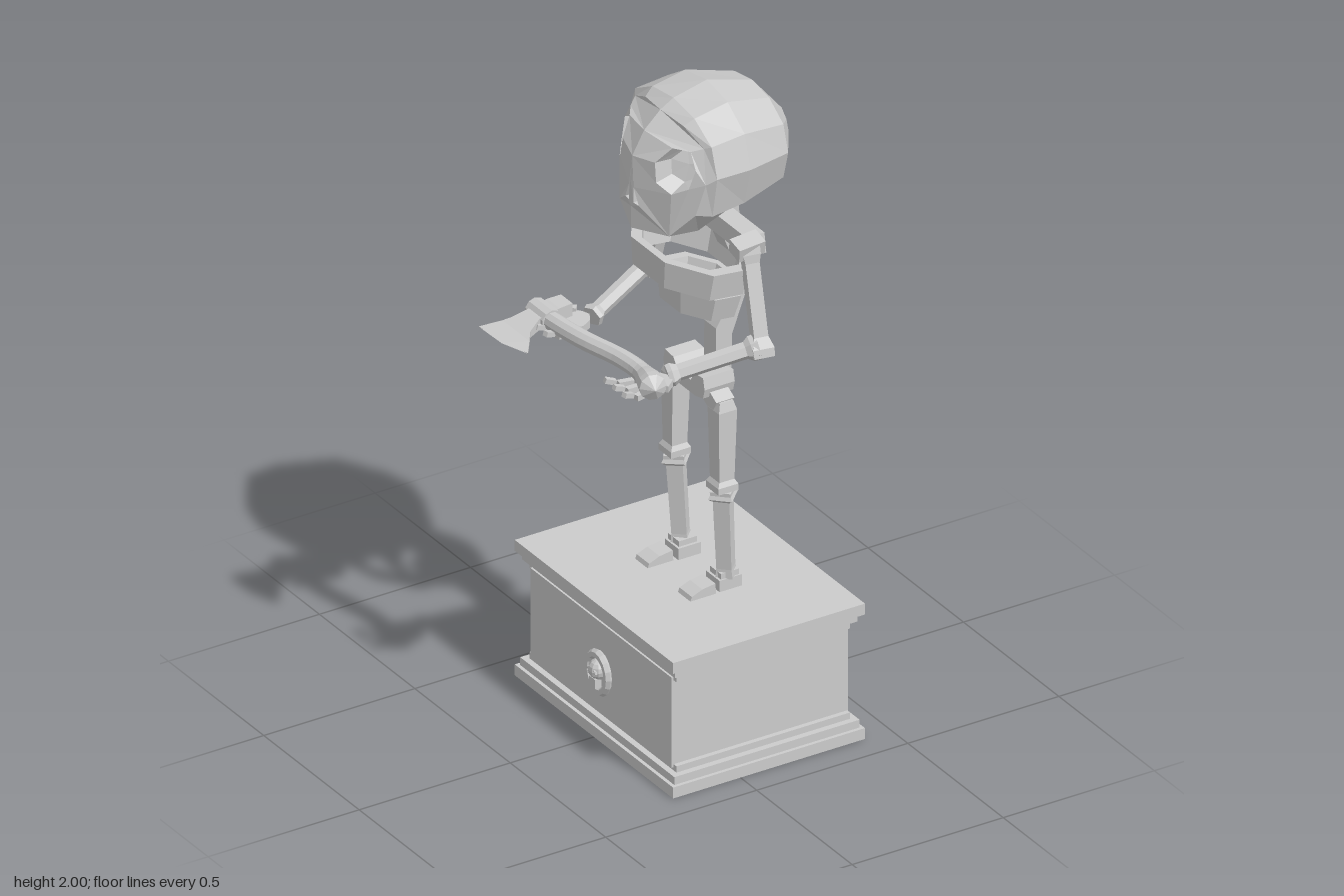
import * as THREE from 'three';

const mat = new THREE.MeshStandardMaterial({ color: 0xcccccc, flatShading: true });
const openMat = new THREE.MeshStandardMaterial({ color: 0xcccccc, flatShading: true, side: THREE.DoubleSide });
const V = (x, y, z) => new THREE.Vector3(x, y, z);

function add(parent, name, geo, pos = [0, 0, 0], rot = [0, 0, 0], material = mat) {
  const m = new THREE.Mesh(geo, material);
  m.name = name;
  m.position.set(...pos);
  m.rotation.set(...rot);
  parent.add(m);
  return m;
}

const box = (x, y, z) => new THREE.BoxGeometry(x, y, z);

// Surface through equal-length rings, with optional end caps
function loft(rings, capStart, capEnd) {
  const p = [];
  const tri = (...pts) => pts.forEach(q => p.push(...q));
  const n = rings[0].length;
  const mid = r => [0, 1, 2].map(k => r.reduce((s, q) => s + q[k], 0) / n);
  for (let i = 0; i + 1 < rings.length; i++) {
    for (let j = 0; j < n; j++) {
      const k = (j + 1) % n, [r, s] = [rings[i], rings[i + 1]];
      tri(r[j], r[k], s[k]);
      tri(r[j], s[k], s[j]);
    }
  }
  const first = rings[0], last = rings[rings.length - 1];
  for (let j = 0; j < n; j++) {
    const k = (j + 1) % n;
    if (capStart) tri(mid(first), first[k], first[j]);
    if (capEnd) tri(mid(last), last[j], last[k]);
  }
  const g = new THREE.BufferGeometry();
  g.setAttribute('position', new THREE.Float32BufferAttribute(p, 3));
  g.computeVertexNormals();
  return g;
}

// Faceted bone from a to b; profile is [fraction of length, half width]
function bone(parent, name, a, b, profile, sides = 4) {
  const dir = b.clone().sub(a), len = dir.length();
  const k = 1 / Math.cos(Math.PI / sides);
  const pts = [[0, 0], ...profile, [1, 0]].map(([t, r]) => new THREE.Vector2(r * k, t * len));
  const m = add(parent, name, new THREE.LatheGeometry(pts, sides, Math.PI / sides));
  m.position.copy(a);
  m.quaternion.setFromUnitVectors(V(0, 1, 0), dir.normalize());
  return m;
}

function extrude(points, depth) {
  const s = new THREE.Shape(points.map(([x, y]) => new THREE.Vector2(x, y)));
  const g = new THREE.ExtrudeGeometry(s, { depth, bevelEnabled: false });
  return g.translate(0, 0, -depth / 2);
}

function pedestal(parent) {
  const g = new THREE.Group();
  g.name = 'pedestal';
  parent.add(g);
  // Mouldings: bottom, top, overhang from the body
  for (const [y0, y1, o] of [[0, 0.035, 0.045], [0.035, 0.06, 0.034], [0.06, 0.08, 0.015],
    [0.35, 0.375, 0.015], [0.375, 0.4, 0.03], [0.4, 0.435, 0.045]]) {
    add(g, 'moulding', box(0.545 + 2 * o, y1 - y0, 0.74 + 2 * o), [0.0945, (y0 + y1) / 2, 0]);
  }
  // Body with a sunken panel on the rear face
  const rect = (x, y0, y1, w) => [[x, y1, -w], [x, y1, w], [x, y0, w], [x, y0, -w]];
  add(g, 'pedestalBody', loft([rect(-0.2, 0.07, 0.36, 0.37), rect(0.385, 0.07, 0.36, 0.37),
    rect(0.385, 0.082, 0.345, 0.325), rect(0.345, 0.13, 0.3, 0.29)], true, true));
  // Oval badge
  const badge = new THREE.Group();
  badge.name = 'badge';
  badge.position.set(-0.2, 0.203, 0);
  badge.rotation.y = -Math.PI / 2;
  g.add(badge);
  add(badge, 'badgeRim', new THREE.TorusGeometry(0.05, 0.013, 6, 16), [0, 0, 0.008]).scale.y = 1.16;
  add(badge, 'badgePlate', new THREE.CylinderGeometry(0.05, 0.05, 0.012, 16), [0, 0, 0.002], [Math.PI / 2, 0, 0]).scale.z = 1.16;
  add(badge, 'badgeHead', new THREE.SphereGeometry(0.032, 10, 8), [0, 0.012, 0.006]);
  add(badge, 'badgeJaw', box(0.032, 0.03, 0.04), [0, -0.025, 0.01]);
  for (const s of [-1, 1]) add(badge, 'badgeEye', new THREE.TorusGeometry(0.009, 0.004, 5, 8), [s * 0.013, 0.01, 0.03]);
}

// Depth of the face at a given height and distance from the middle
const faceX = (z, y) => -0.1 + 2.6 * z * z + 4.3 * Math.max(0, y - 1.8) ** 2;

function skull(parent) {
  const g = new THREE.Group();
  g.name = 'skull';
  parent.add(g);
  const rim = [[0, 1.95], [0.1, 1.94], [0.18, 1.9], [0.21, 1.8], [0.19, 1.7], [0.13, 1.62], [0, 1.6]];
  const ring = (half, x) => {
    const at = (z, y) => [x === null ? faceX(z, y) : x, y, z];
    return [...half.map(([z, y]) => at(z, y)), ...half.slice(1, -1).reverse().map(([z, y]) => at(-z, y))];
  };
  add(g, 'cranium', loft([
    ring(rim, null),
    ring([[0, 1.975], [0.11, 1.96], [0.2, 1.91], [0.23, 1.82], [0.205, 1.69], [0.13, 1.61], [0, 1.585]], 0.04),
    ring([[0, 2], [0.11, 1.98], [0.2, 1.92], [0.232, 1.82], [0.2, 1.7], [0.11, 1.635], [0, 1.62]], 0.15),
    ring([[0, 1.955], [0.09, 1.94], [0.165, 1.89], [0.19, 1.81], [0.165, 1.72], [0.09, 1.665], [0, 1.65]], 0.3),
    ring([[0, 1.87], [0.045, 1.865], [0.07, 1.84], [0.08, 1.81], [0.07, 1.785], [0.045, 1.765], [0, 1.76]], 0.37),
    ring(rim.map(() => [0, 1.81]), 0.39),
  ]), undefined, undefined, openMat);
  const eye = Array.from({ length: 7 }, (_, i) => {
    const a = (i + 0.5) / 7 * Math.PI * 2;
    return [0.135 + 0.052 * Math.sin(a), 1.825 + 0.07 * Math.cos(a)];
  });
  const nose = [[0.012, 1.735], [0.035, 1.685], [0.012, 1.685]];
  const v2 = a => a.map(([z, y]) => new THREE.Vector2(z, y));
  for (const s of [-1, 1]) {
    // Half face with openings, bent back from the middle ridge
    const shape = new THREE.Shape(v2([...rim, [0, 1.67], [0, 1.74], [0, 1.83], [0, 1.9]]));
    shape.holes.push(new THREE.Path(v2(eye)), new THREE.Path(v2(nose)));
    const geo = new THREE.ShapeGeometry(shape), p = geo.attributes.position;
    for (let i = 0; i < p.count; i++) {
      const z = p.getX(i), y = p.getY(i);
      p.setXYZ(i, faceX(z, y), y, s * z);
    }
    geo.computeVertexNormals();
    add(g, 'face', geo, undefined, undefined, openMat);
    // Sunken sockets
    for (const [name, hole, cz, cy, d] of [['eyeSocket', eye, 0.135, 1.825, 0.055], ['noseSocket', nose, 0.018, 1.7, 0.025]]) {
      const outer = hole.map(([z, y]) => [faceX(z, y), y, s * z]);
      const inner = hole.map(([z, y]) => [faceX(z, y) + d, cy + 0.75 * (y - cy), s * (cz * 0.88 + 0.7 * (z - cz))]);
      add(g, name, loft([outer, inner], false, true), undefined, undefined, openMat);
    }
  }
}

function torso(parent) {
  add(parent, 'spine', extrude([[0.175, 1.66], [0.185, 1.5], [0.232, 1.38], [0.225, 1.32], [0.162, 1.21], [0.16, 1.05],
    [0.212, 1.05], [0.215, 1.18], [0.275, 1.34], [0.243, 1.5], [0.232, 1.66]], 0.062));
  // Rib bands taper downward and tip up at the front
  const rib = (name, x, y, rx, rz, h, taper) => {
    const pts = [[taper, -h], [1, h], [0.82, h], [taper - 0.18, -h], [taper, -h]].map(q => new THREE.Vector2(...q));
    const m = add(parent, name, new THREE.LatheGeometry(pts, 8, Math.PI / 8), [x, y, 0], [0, 0, -0.11]);
    m.scale.set(rx * 1.08, 1, rz * 1.08);
  };
  rib('upperRibs', 0.093, 1.455, 0.143, 0.215, 0.042, 0.93);
  rib('lowerRibs', 0.125, 1.338, 0.105, 0.148, 0.037, 0.88);
  add(parent, 'shoulderBar', extrude([[-0.21, 1.525], [0.21, 1.525], [0.2, 1.585], [-0.2, 1.585]], 0.06), [0.185, 0, 0], [0, Math.PI / 2, 0]);
  add(parent, 'pelvis', extrude([[-0.1, 1.045], [-0.06, 1.035], [0.06, 1.035], [0.1, 1.045], [0.108, 1.075], [0.1, 1.11],
    [0.055, 1.105], [0.035, 1.075], [-0.035, 1.075], [-0.055, 1.105], [-0.1, 1.11], [-0.108, 1.075]], 0.1), [0.125, 0, 0], [0, Math.PI / 2, 0]);
}

function limbs(parent, s) {
  const side = s > 0 ? 'positiveSide' : 'negativeSide';
  const arm = new THREE.Group(), leg = new THREE.Group();
  arm.name = side + 'Arm';
  leg.name = side + 'Leg';
  parent.add(arm, leg);
  // Arm
  add(arm, 'shoulderCap', box(0.085, 0.045, 0.055), [0.152, 1.565, s * 0.21], [s * 0.25, 0, 0.1]);
  bone(arm, 'upperArm', V(0.155, 1.57, s * 0.21), V(0.145, 1.255, s * 0.295),
    [[0, 0.026], [0.08, 0.026], [0.16, 0.021], [0.82, 0.021], [0.92, 0.032], [1, 0.03]]);
  bone(arm, 'forearm', V(0.14, 1.282, s * 0.285), V(-0.105, 1.22, s * 0.2),
    [[0, 0.034], [0.08, 0.032], [0.14, 0.022], [0.88, 0.021], [0.95, 0.03], [1, 0.028]], 6);
  // Hand
  const palm = extrude([[-0.105, 0.21], [-0.125, 0.24], [-0.17, 0.235], [-0.2, 0.22], [-0.2, 0.165], [-0.16, 0.155], [-0.125, 0.175]]
    .map(([x, z]) => [x, -s * z]), 0.025);
  add(arm, 'palm', palm, [0, 1.215, 0], [-Math.PI / 2, 0, 0]);
  [0.165, 0.205, 0.248].forEach((z, i) => {
    const turn = s * (i - 1) * 0.2;
    add(arm, 'fingerBase', box(0.045, 0.017, 0.019), [-0.222, 1.217, s * z], [0, turn, 0]);
    add(arm, 'fingerTip', box(0.034, 0.015, 0.017), [-0.27, 1.234, s * (z + (i - 1) * 0.006)], [0, turn, -0.35]);
  });
  add(arm, 'thumbBase', box(0.042, 0.02, 0.022), [-0.143, 1.228, s * 0.257], [0, s * 0.7, 0]);
  add(arm, 'thumbTip', box(0.035, 0.018, 0.018), [-0.18, 1.238, s * 0.277], [0, s * 0.4, 0]);
  // Leg
  const z = s * 0.118;
  add(leg, 'hip', box(0.06, 0.05, 0.06), [0.125, 1.035, s * 0.1], [s * 0.5, 0, 0]);
  bone(leg, 'thigh', V(0.125, 1.04, s * 0.122), V(0.123, 0.755, s * 0.124),
    [[0, 0.022], [0.1, 0.03], [0.88, 0.025], [0.93, 0.033], [1, 0.033]]);
  bone(leg, 'shin', V(0.125, 0.755, s * 0.124), V(0.14, 0.47, z),
    [[0, 0.03], [0.04, 0.03], [0.08, 0.035], [0.12, 0.024], [0.9, 0.022], [1, 0.025]]);
  add(leg, 'heel', box(0.075, 0.036, 0.07), [0.14, 0.453, s * 0.108]);
  add(leg, 'ankle', box(0.06, 0.025, 0.056), [0.14, 0.476, s * 0.11]);
  add(leg, 'toes', extrude([[0.005, 0.435], [0.09, 0.435], [0.088, 0.468], [0.045, 0.462], [0.01, 0.448]], 0.065), [0, 0, s * 0.112]);
}

function axe(parent) {
  const g = new THREE.Group();
  g.name = 'axe';
  parent.add(g);
  // Handle swells into a knob at its end
  const curve = new THREE.CatmullRomCurve3([V(-0.235, 1.243, -0.32), V(-0.235, 1.245, -0.2), V(-0.222, 1.25, -0.05),
    V(-0.194, 1.255, 0.1), V(-0.192, 1.258, 0.21), V(-0.224, 1.266, 0.325)]);
  const rows = 24, sides = 10;
  const handle = new THREE.TubeGeometry(curve, rows, 0.028, sides), p = handle.attributes.position;
  for (let i = 0; i < p.count; i++) {
    const row = Math.floor(i / (sides + 1)), t = row / rows, c = curve.getPointAt(t);
    const k = row === 0 || row === rows ? 0 : t > 0.82 ? 1 + 0.42 * Math.sin((t - 0.82) / 0.18 * 2.3) : 1;
    p.setXYZ(i, c.x + (p.getX(i) - c.x) * k, c.y + (p.getY(i) - c.y) * k, c.z + (p.getZ(i) - c.z) * k);
  }
  add(g, 'handle', handle);
  add(g, 'collar', new THREE.CylinderGeometry(0.034, 0.034, 0.09, 10), [-0.235, 1.244, -0.245], [Math.PI / 2, 0, 0]);
  // Head thins toward its cutting edge
  const sec = (x, z0, z1, y, h, bow = 0) => [[x, y + h, z0], [x - bow, y + h, (z0 + z1) / 2], [x, y + h, z1],
    [x, y - h, z1], [x - bow, y - h, (z0 + z1) / 2], [x, y - h, z0]];
  const edge = [[-0.412, 1.232, -0.303], [-0.408, 1.232, -0.19], [-0.378, 1.232, -0.1],
    [-0.378, 1.23, -0.1], [-0.408, 1.23, -0.19], [-0.412, 1.23, -0.303]];
  add(g, 'axeHead', loft([edge, sec(-0.345, -0.285, -0.145, 1.234, 0.006), sec(-0.32, -0.278, -0.18, 1.236, 0.01),
    sec(-0.27, -0.274, -0.21, 1.24, 0.018), sec(-0.2, -0.28, -0.215, 1.243, 0.025), sec(-0.155, -0.28, -0.22, 1.244, 0.024)], true, true),
    undefined, undefined, openMat);
}

export function createModel() {
  const model = new THREE.Group();
  model.name = 'skeletonStatue';
  pedestal(model);
  skull(model);
  torso(model);
  for (const s of [-1, 1]) limbs(model, s);
  axe(model);
  return model;
}
